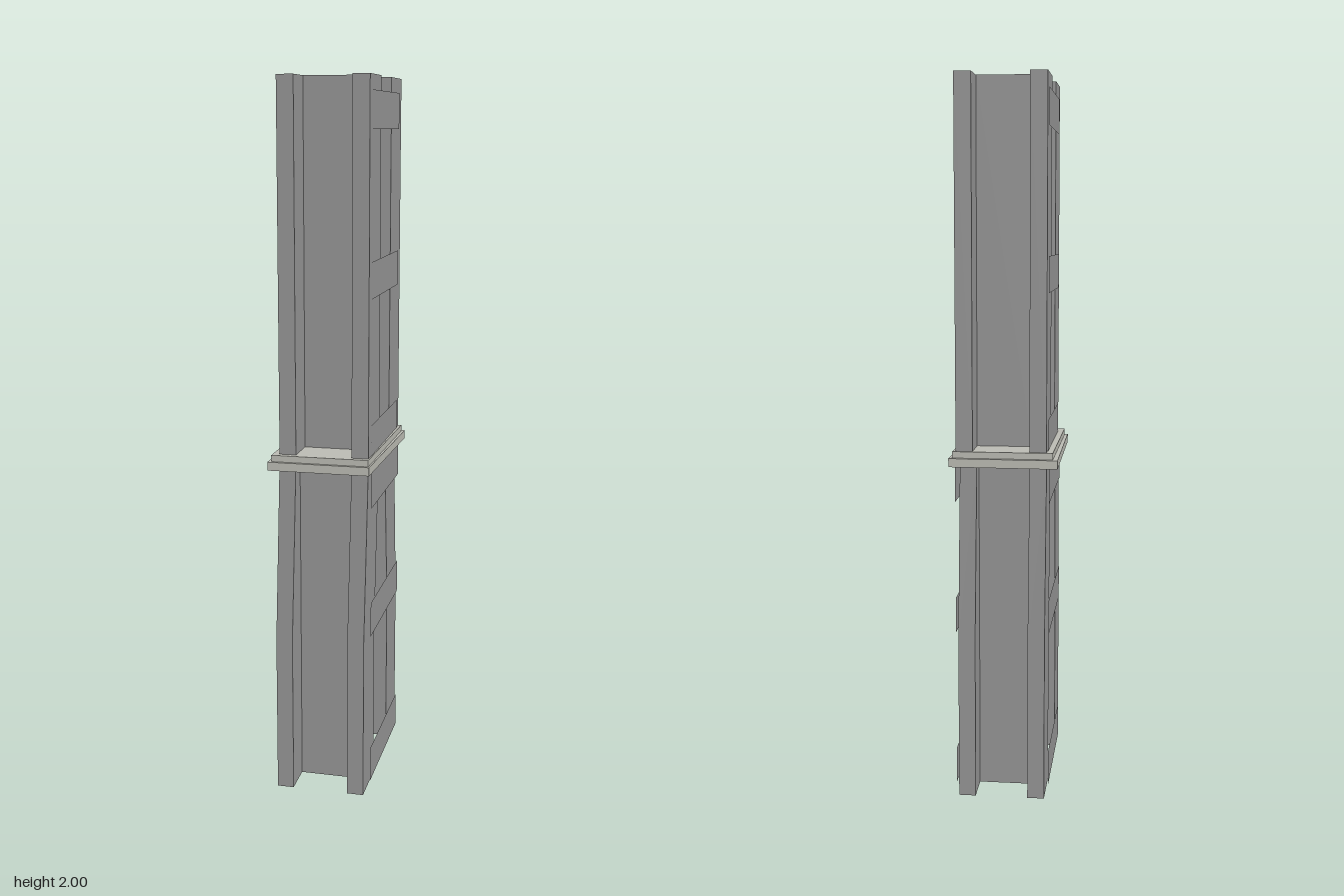
import * as THREE from 'three';

const steel = new THREE.MeshStandardMaterial({ color: 0x959595 });
const sheet = new THREE.MeshStandardMaterial({ color: 0x959595, side: THREE.DoubleSide });
const pale = new THREE.MeshStandardMaterial({ color: 0xbbbbb3 });

// Extrude an outline given as [x, z] points upward from y0
function extrudeUp(points, y0, height) {
  const shape = new THREE.Shape(points.map(([x, z]) => new THREE.Vector2(x, -z)));
  const geo = new THREE.ExtrudeGeometry(shape, { depth: height, bevelEnabled: false });
  geo.rotateX(-Math.PI / 2);
  geo.translate(0, y0, 0);
  return geo;
}

// U-shaped section, web towards the centre and flanges outward (side = 1 front, -1 back)
function channelOutline(side, x0, x1, inner, outer) {
  const t = 0.047;
  return [
    [x0, inner], [x1, inner], [x1, outer], [x1 - t, outer],
    [x1 - t, inner + t], [x0 + t, inner + t], [x0 + t, outer], [x0, outer],
  ].map(([x, z]) => [x, z * side]);
}

// Leg flange: upright to the knee, then leaning inward to the plate
function legFlange(side, x) {
  const geo = new THREE.BoxGeometry(0.047, 0.94, 0.144, 1, 2, 1);
  geo.translate(x, 0.47, side * 0.197);
  const p = geo.attributes.position;
  for (let i = 0; i < p.count; i++) {
    const y = p.getY(i);
    if (y > 0.9) p.setZ(i, p.getZ(i) - side * 0.05);
    else if (y > 0.1) p.setY(i, 0.45);
  }
  return geo;
}

export function createModel() {
  const group = new THREE.Group();
  const add = (name, geo, mat) => {
    const mesh = new THREE.Mesh(geo, mat);
    mesh.name = name;
    group.add(mesh);
    return mesh;
  };

  for (const side of [1, -1]) {
    const label = side > 0 ? 'front' : 'back';

    // Straight upper channel
    add(label + 'UpperChannel',
      extrudeUp(channelOutline(side, -0.12, 0.132, 0.071, 0.218), 0.97, 1.03), steel);

    // Lower leg: two bent flanges joined by an upright web
    add(label + 'LegFlangeRight', legFlange(side, -0.097), steel);
    add(label + 'LegFlangeLeft', legFlange(side, side > 0 ? 0.1085 : 0.0965), steel);
    add(label + 'LegWeb', new THREE.BoxGeometry(0.17, 0.94, 0.047), steel)
      .position.set(0.003, 0.47, side * 0.1485);
  }

  // Two-layer joint plate, slightly out of square
  add('jointPlate', extrudeUp(
    [[-0.152, -0.241], [0.15, -0.235], [0.139, 0.243], [-0.148, 0.245]], 0.937, 0.024), pale);
  add('jointPlateTop', extrudeUp(
    [[-0.138, -0.227], [0.141, -0.225], [0.135, 0.234], [-0.139, 0.236]], 0.961, 0.018), pale);

  // Thin tie straps across both sides
  const straps = (name, list, width, left, right) => {
    for (const [y0, y1] of list) {
      for (const x of [left, right]) {
        const geo = new THREE.PlaneGeometry(width, y1 - y0);
        geo.rotateY(x > 0 ? Math.PI / 2 : -Math.PI / 2);
        add(name, geo, sheet).position.set(x, (y0 + y1) / 2, 0);
      }
    }
  };
  straps('upperTieStrap', [[0.965, 1.065], [1.413, 1.513], [1.86, 1.96]], 0.37, -0.122, 0.133);
  straps('lowerTieStrap', [[0.008, 0.11], [0.455, 0.555], [0.832, 0.934]], 0.397, -0.126, 0.137);

  return group;
}
